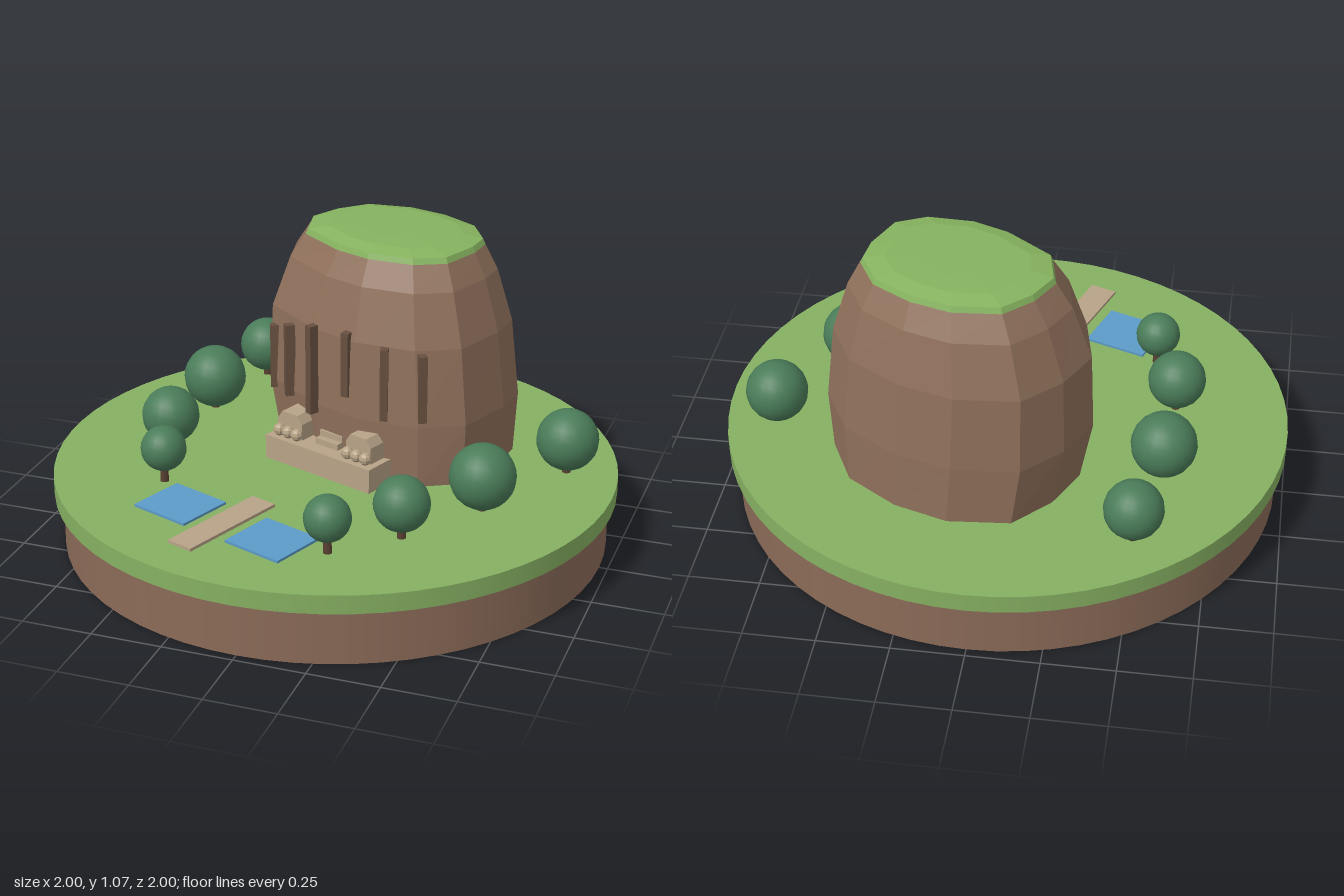
import * as THREE from 'three';

const mat = (name, color, extra = {}) => {
  const m = new THREE.MeshStandardMaterial({ color, ...extra });
  m.name = name;
  return m;
};

export function createModel() {
  const root = new THREE.Group();
  root.name = 'rockFortress';
  const M = {
    grass: mat('grass', 0x86b062),
    earth: mat('earth', 0x8b6b58),
    rock: mat('rock', 0x8f705b, { flatShading: true }),
    cap: mat('summitGrass', 0x86b35f, { flatShading: true }),
    streak: mat('rockStreak', 0x685040),
    stone: mat('stone', 0xb8a387, { flatShading: true }),
    water: mat('water', 0x5b9bc8),
    trunk: mat('trunk', 0x5a4032),
    leaf: mat('foliage', 0x4a7c59),
  };
  const add = (parent, name, geo, material, x = 0, y = 0, z = 0, ry = 0) => {
    const m = new THREE.Mesh(geo, material);
    m.name = name;
    m.position.set(x, y, z);
    m.rotation.y = ry;
    parent.add(m);
    return m;
  };

  // Round island
  add(root, 'earthBase', new THREE.CylinderGeometry(0.97, 0.97, 0.2, 64), M.earth, 0, 0.1);
  add(root, 'lawn', new THREE.CylinderGeometry(1, 1, 0.067, 64), M.grass, 0, 0.2325);

  // Irregular outline of the rock, relative to its axis
  const outline = [[-0.465, -0.075], [-0.385, -0.235], [-0.255, -0.365], [-0.025, -0.385], [0.175, -0.325],
    [0.365, -0.205], [0.46, -0.025], [0.445, 0.115], [0.365, 0.315], [0.215, 0.39], [-0.015, 0.38],
    [-0.195, 0.305], [-0.425, 0.125]];
  // Each ring: height, x scale, z scale, x shift
  const loft = (rings, closeTop) => {
    const n = outline.length, pos = [], idx = [];
    for (const [y, sx, sz, cx] of rings)
      for (const [x, z] of outline) pos.push(x * sx + cx, y, z * sz);
    for (let r = 0; r < rings.length - 1; r++)
      for (let i = 0; i < n; i++) {
        const a = r * n + i, b = r * n + (i + 1) % n;
        idx.push(a, a + n, b, b, a + n, b + n);
      }
    if (closeTop) {
      const last = (rings.length - 1) * n, [y, , , cx] = rings[rings.length - 1];
      pos.push(cx, y, 0);
      for (let i = 0; i < n; i++) idx.push(last + n, last + (i + 1) % n, last + i);
    }
    const g = new THREE.BufferGeometry();
    g.setAttribute('position', new THREE.Float32BufferAttribute(pos, 3));
    g.setIndex(idx);
    g.computeVertexNormals();
    return g;
  };
  add(root, 'greatRock', loft([[0.26, 0.94, 0.99, 0.015], [0.49, 1, 1, 0], [0.765, 0.955, 0.95, -0.01],
    [0.95, 0.82, 0.82, -0.005], [1.035, 0.71, 0.69, 0]], true), M.rock, 0.125, 0, -0.265);
  add(root, 'summitLawn', loft([[1.03, 0.715, 0.695, 0], [1.055, 0.69, 0.67, 0], [1.068, 0.53, 0.52, 0],
    [1.07, 0.3, 0.3, 0]], true), M.cap, 0.125, 0, -0.265);

  // Dark weather streaks on the front cliff: x, z, bottom, top
  for (const [x, z, y0, y1] of [[-0.275, -0.125, 0.46, 0.7], [-0.19, -0.045, 0.47, 0.74], [-0.07, 0.055, 0.46, 0.79],
    [0.07, 0.09, 0.56, 0.795], [0.215, 0.115, 0.5, 0.765], [0.35, 0.11, 0.51, 0.755]])
    add(root, 'rockStreak', new THREE.BoxGeometry(0.028, y1 - y0, 0.035), M.streak,
      x, (y0 + y1) / 2, z, Math.atan2(x - 0.125, z + 0.265));

  // Terrace, paws and gardens share one axis
  const site = new THREE.Group();
  site.name = 'entranceAndGardens';
  site.position.set(-0.02, 0, 0.15);
  site.rotation.y = -0.35;
  root.add(site);
  add(site, 'terrace', new THREE.BoxGeometry(0.47, 0.095, 0.2), M.stone, 0, 0.3075, -0.1);
  for (let i = 0; i < 3; i++)
    add(site, 'stair', new THREE.BoxGeometry(0.1, 0.022, 0.1), M.stone, 0, 0.366 + i * 0.022, -0.105 - i * 0.025);

  // Stone paws with toes
  for (const s of [-1, 1]) {
    const paw = new THREE.Group();
    paw.name = s < 0 ? 'rightPaw' : 'leftPaw';
    paw.position.set(s * 0.155, 0.355, -0.03);
    site.add(paw);
    const shape = new THREE.Shape([[-0.055, 0], [0.055, 0], [0.055, 0.06], [0.035, 0.09], [-0.035, 0.09], [-0.055, 0.06]]
      .map(([x, y]) => new THREE.Vector2(x, y)));
    add(paw, 'pawBody', new THREE.ExtrudeGeometry(shape, { depth: 0.12, bevelEnabled: false }), M.stone, 0, 0, -0.13);
    for (let i = -1; i <= 1; i++)
      add(paw, 'toe', new THREE.SphereGeometry(0.023, 8, 6), M.stone, i * 0.04, 0.022, 0);
  }

  // Water gardens and walkway
  add(site, 'walkway', new THREE.BoxGeometry(0.1, 0.014, 0.42), M.stone, 0, 0.27, 0.49);
  for (const s of [-1, 1])
    add(site, 'pool', new THREE.BoxGeometry(0.23, 0.012, 0.21), M.water, s * 0.207, 0.269, 0.475);

  // Trees: x, z, crown radius
  for (const [x, z, r] of [[-0.51, -0.645, 0.102], [-0.58, -0.285, 0.115], [-0.595, 0.095, 0.103], [-0.505, 0.365, 0.08],
    [0.21, 0.68, 0.08], [0.405, 0.5, 0.096], [0.6, 0.215, 0.115], [0.8, -0.17, 0.11]]) {
    const tree = new THREE.Group();
    tree.name = 'tree';
    tree.position.set(x, 0.265, z);
    root.add(tree);
    add(tree, 'trunk', new THREE.CylinderGeometry(0.012, 0.016, 0.1, 8), M.trunk, 0, 0.05);
    add(tree, 'crown', new THREE.SphereGeometry(r, 20, 14), M.leaf, 0, 0.126);
  }
  return root;
}
